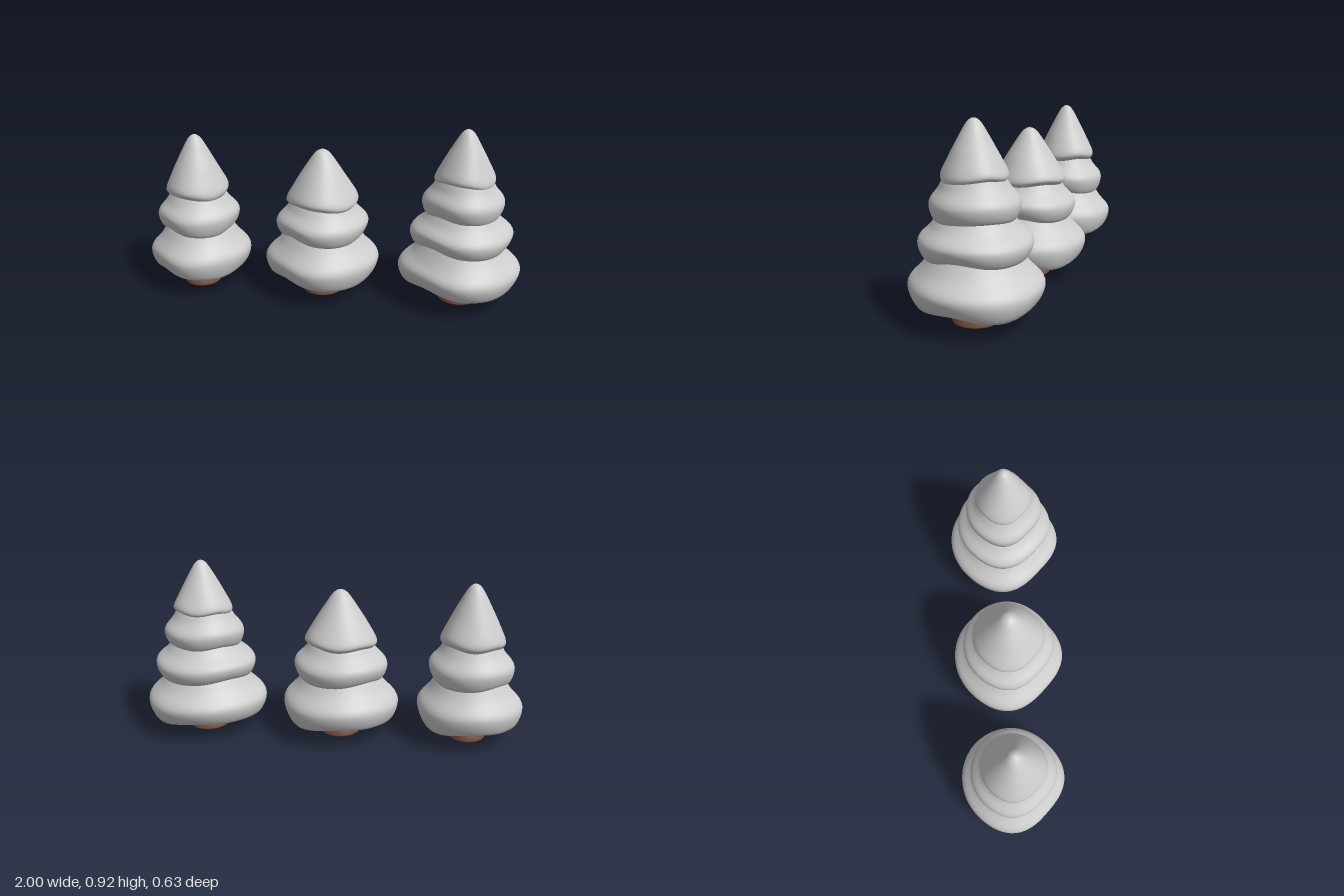
import * as THREE from 'three';
import { mergeVertices } from 'three/addons/utils/BufferGeometryUtils.js';

const foliage = new THREE.MeshStandardMaterial({ color: 0xcccccc });
foliage.name = 'pale grey foliage';
const bark = new THREE.MeshStandardMaterial({ color: 0x7a5142 });
bark.name = 'brown bark';

// Values every 45 degrees, from +x towards +z
const OUTLINE = [0.98, 0.93, 0.985, 0.89, 1.03, 0.98, 0.99, 1.02];
const HEMS = {
  skirt: [0.015, -0.008, 0.005, 0.02, -0.005, 0, 0.01, -0.015],
  lower: [0.018, -0.01, 0, 0.02, -0.008, 0.01, -0.005, -0.005],
  upper: [0.005, -0.01, 0, 0.01, -0.008, 0.01, 0, 0.01],
  crown: [0, -0.015, 0.01, 0.01, -0.01, 0.01, 0, 0.018],
};

// Smooth periodic lookup (Catmull-Rom)
function around(values, angle) {
  const n = values.length;
  const t = ((angle / (Math.PI * 2)) * n + n) % n;
  const i = Math.floor(t), f = t - i;
  const [a, b, c, d] = [-1, 0, 1, 2].map((k) => values[(i + k + n) % n]);
  return b + 0.5 * f * (c - a + f * (2 * a - 5 * b + 4 * c - d + f * (3 * (b - c) + d - a)));
}

// Curved underside and rolled hem shared by every tier
function hemProfile(R, hem) {
  return [
    [0, hem + 0.05], [0.35 * R, hem + 0.045], [0.62 * R, hem + 0.012],
    [0.8 * R, hem], [0.92 * R, hem + 0.012],
  ];
}

function tierProfile(R, hem, topR, topY) {
  const h = topY - hem;
  return [
    ...hemProfile(R, hem),
    [R, hem + 0.28 * h], [0.97 * R, hem + 0.46 * h],
    [0.47 * R + 0.5 * topR, hem + 0.7 * h], [topR, topY],
  ];
}

function crownProfile(R, hem, topY) {
  const h = topY - hem;
  const cone = [[1, 0.14], [0.79, 0.38], [0.5, 0.67], [0.24, 0.91], [0.1, 0.985], [0, 1]];
  return [...hemProfile(R, hem), ...cone.map(([r, y]) => [r * R, hem + y * h])];
}

// Lathe a profile, then vary its outline and lift its hem in waves
function wavyTier(name, profile, hem, lifts, strength) {
  const curve = new THREE.SplineCurve(profile.map(([r, y]) => new THREE.Vector2(r, y)));
  const points = curve.getPoints(44);
  points.forEach((p) => { p.x = Math.max(0, p.x); });
  let geo = new THREE.LatheGeometry(points, 64);
  const pos = geo.attributes.position;
  for (let i = 0; i < pos.count; i++) {
    const x = pos.getX(i), y = pos.getY(i), z = pos.getZ(i);
    const angle = Math.atan2(z, x);
    const fade = Math.min(1, Math.max(0, 1 - (y - hem) / 0.16));
    const near = Math.min(1, Math.hypot(x, z) / 0.08);
    const s = 1 + (around(OUTLINE, angle) - 1) * strength * (0.4 + 0.6 * Math.sqrt(fade));
    pos.setXYZ(i, x * s, y + around(lifts, angle) * fade * near, z * s);
  }
  geo.deleteAttribute('normal');
  geo.deleteAttribute('uv');
  geo = mergeVertices(geo, 1e-5);
  geo.computeVertexNormals();
  const mesh = new THREE.Mesh(geo, foliage);
  mesh.name = name;
  return mesh;
}

// Flared trunk with a flat base
function makeTrunk(r) {
  const group = new THREE.Group();
  group.name = 'trunk';
  const flare = [[0.95, 0], [1, 0.008], [0.92, 0.03], [0.77, 0.07], [0.68, 0.105], [0.7, 0.17]];
  const side = new THREE.Mesh(
    new THREE.LatheGeometry(flare.map(([x, y]) => new THREE.Vector2(x * r, y)), 32), bark);
  side.name = 'trunkSide';
  const base = new THREE.Mesh(new THREE.CircleGeometry(0.95 * r, 32), bark);
  base.rotation.x = Math.PI / 2;
  base.name = 'trunkBase';
  group.add(side, base);
  return group;
}

// tiers: [radius, hem height, top radius, top height]; crown: [radius, hem height, tip height]
const TREES = [
  { name: 'leftHandTree', x: -0.72, trunk: 0.1, crown: [0.165, 0.505, 0.835],
    tiers: [[0.272, 0.097, 0.165, 0.36], [0.218, 0.325, 0.13, 0.55]] },
  { name: 'middleTree', x: -0.04, trunk: 0.112, crown: [0.188, 0.485, 0.785],
    tiers: [[0.302, 0.097, 0.185, 0.36], [0.243, 0.32, 0.15, 0.53]] },
  { name: 'tallTree', x: 0.69, trunk: 0.112, crown: [0.152, 0.635, 0.918],
    tiers: [[0.315, 0.095, 0.2, 0.34], [0.262, 0.308, 0.16, 0.51], [0.207, 0.475, 0.13, 0.68]] },
];

export function createModel() {
  const model = new THREE.Group();
  model.name = 'threeTrees';
  const tierNames = ['skirt', 'lower', 'upper'];
  for (const spec of TREES) {
    const tree = new THREE.Group();
    tree.name = spec.name;
    tree.position.x = spec.x;
    tree.add(makeTrunk(spec.trunk));
    spec.tiers.forEach((t, i) => {
      const key = tierNames[i];
      tree.add(wavyTier(key + 'Foliage', tierProfile(...t), t[1], HEMS[key], i ? 0.75 : 1));
    });
    tree.add(wavyTier('crownFoliage', crownProfile(...spec.crown), spec.crown[1], HEMS.crown, 0.6));
    model.add(tree);
  }
  return model;
}
